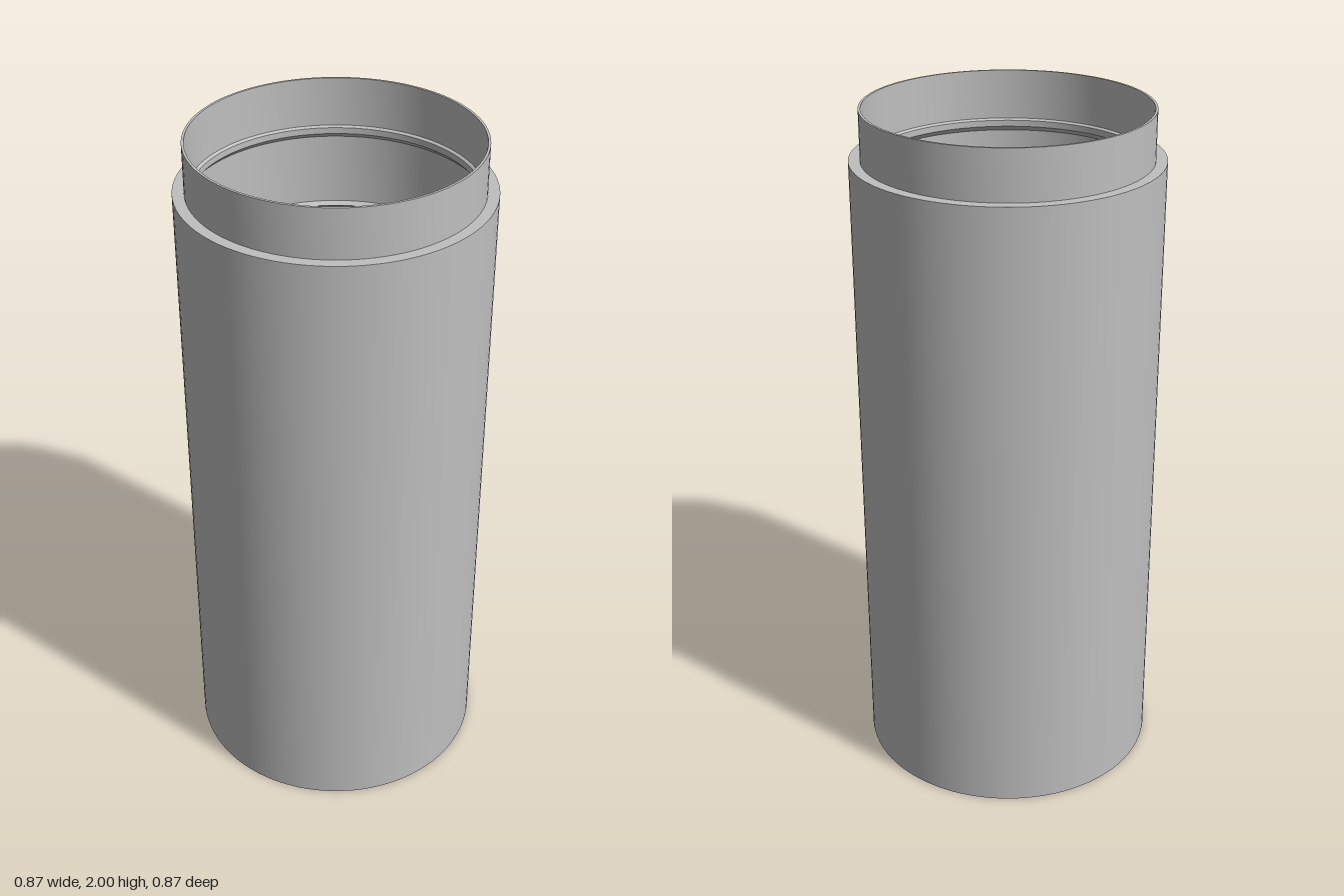
import * as THREE from 'three';
import { toCreasedNormals } from 'three/addons/utils/BufferGeometryUtils.js';

const SEGMENTS = 96;

// Revolve a [radius, height] profile, keeping its corners sharp
function revolve(name, profile, material) {
  const points = profile.map(([r, y]) => new THREE.Vector2(r, y));
  const geometry = toCreasedNormals(new THREE.LatheGeometry(points, SEGMENTS), 0.4);
  const mesh = new THREE.Mesh(geometry, material);
  mesh.name = name;
  return mesh;
}

export function createModel() {
  const group = new THREE.Group();
  group.name = 'threadedTube';
  const metal = new THREE.MeshStandardMaterial({ color: 0xbfbfbf });
  metal.name = 'grey metal';

  const outer = 0.437, neckOuter = 0.405, neckInner = 0.398, lip = 0.39;
  const bore = 0.405, socket = 0.418;
  const shoulderY = 1.858, socketTop = 0.135, ribTop = 1.615, pitch = 0.02;

  // Outer barrel with its bottom rim and shoulder
  group.add(revolve('barrel', [
    [socket, 0], [outer, 0], [outer, shoulderY], [neckOuter, shoulderY],
  ], metal));

  // Thin neck, its inner ledge and the smooth upper bore
  group.add(revolve('neck', [
    [neckOuter, shoulderY], [neckOuter, 2], [neckInner, 2], [neckInner, shoulderY],
    [lip, shoulderY - 0.005], [lip, 1.835], [bore, 1.82], [bore, ribTop],
  ], metal));

  // Ribbed inner wall, from the upper bore down to the socket
  const ribs = [[bore, ribTop]];
  const count = Math.round((ribTop - socketTop) / pitch);
  for (let i = 0; i < count; i++) {
    const y = ribTop - i * pitch;
    ribs.push([0.393, y - pitch / 2], [bore, y - pitch]);
  }
  group.add(revolve('innerRibs', ribs, metal));

  // Smooth socket at the open bottom end
  group.add(revolve('socket', [
    [bore, socketTop], [socket, socketTop], [socket, 0],
  ], metal));

  return group;
}
